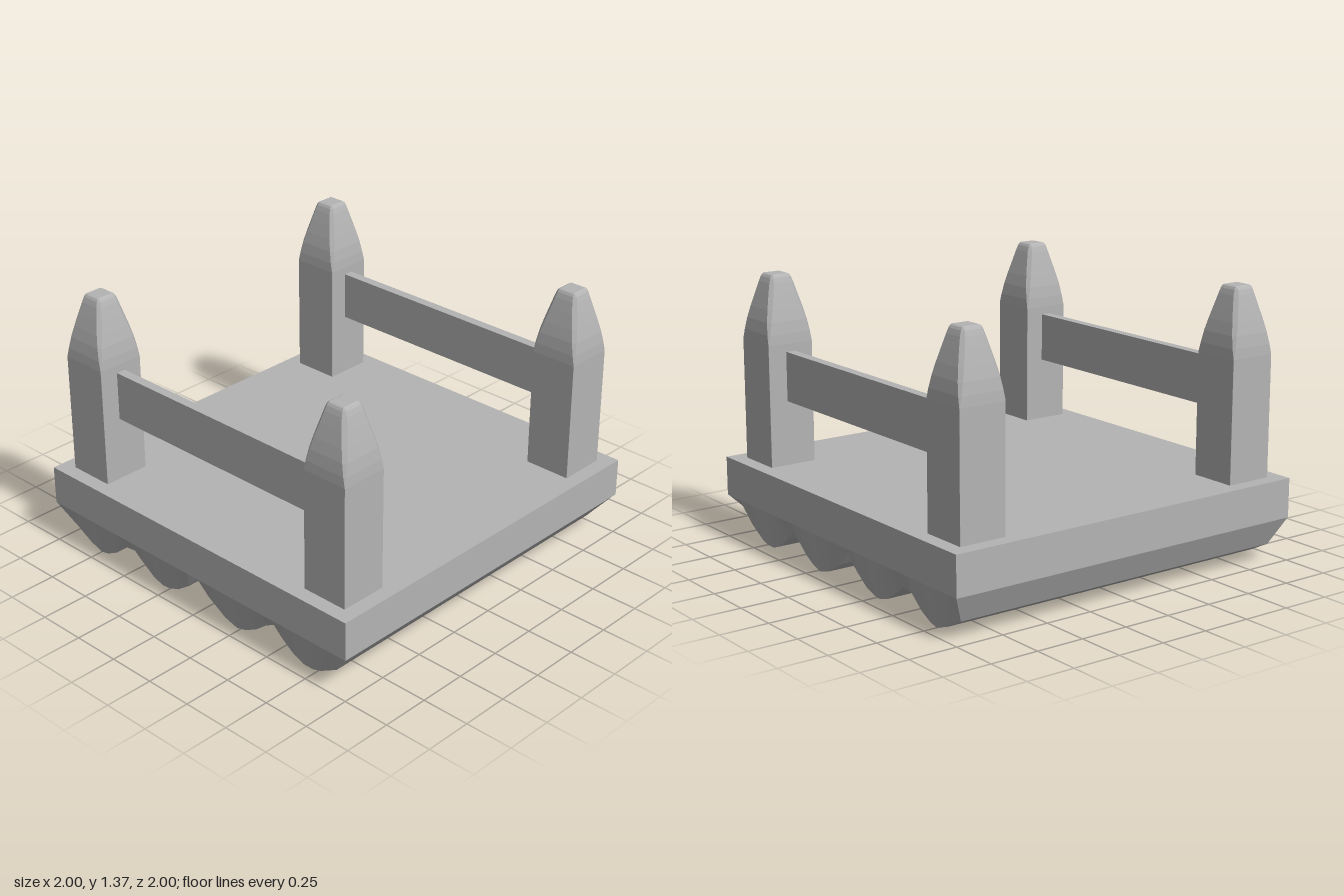
import * as THREE from 'three';

const stone = new THREE.MeshStandardMaterial({ color: 0xb4b4b4 });
stone.name = 'plain grey';

// Skins a list of equal-length rings of [x, y, z] points with flat faces.
function loft(rings, closed, caps) {
  const out = [];
  const tri = (a, b, c) => out.push(...a, ...b, ...c);
  const n = rings[0].length;
  for (let r = 0; r < rings.length - 1; r++) {
    for (let i = 0; i < (closed ? n : n - 1); i++) {
      const j = (i + 1) % n;
      const a = rings[r][i], b = rings[r][j], c = rings[r + 1][j], d = rings[r + 1][i];
      tri(a, b, c);
      tri(a, c, d);
    }
  }
  if (caps) {
    const top = rings[rings.length - 1];
    for (let i = 1; i < n - 1; i++) tri(top[0], top[i], top[i + 1]);
  }
  const g = new THREE.BufferGeometry();
  g.setAttribute('position', new THREE.Float32BufferAttribute(out, 3));
  g.computeVertexNormals();
  return g;
}

function box(name, w, h, d, x, y, z) {
  const m = new THREE.Mesh(new THREE.BoxGeometry(w, h, d), stone);
  m.name = name;
  m.position.set(x, y, z);
  return m;
}

// Square post whose top tapers in a curve, with slightly chamfered corners.
function postGeometry() {
  const profile = [ // height, half width, corner chamfer
    [0.42, 0.124, 0.001], [1.04, 0.124, 0.001], [1.09, 0.121, 0.01], [1.15, 0.113, 0.016],
    [1.21, 0.1, 0.018], [1.28, 0.082, 0.018], [1.335, 0.067, 0.016],
    [1.36, 0.058, 0.012], [1.372, 0.05, 0.006], [1.376, 0.042, 0.001],
  ];
  const rings = profile.map(([y, h, c]) => {
    const k = h - c;
    return [[h, y, k], [h, y, -k], [k, y, -h], [-k, y, -h],
      [-h, y, -k], [-h, y, k], [-k, y, h], [k, y, h]];
  });
  return loft(rings, true, true);
}

// Underside of four logs side by side, given as [z, y] from front to back.
const logs = [
  [1, 0.225], [0.94, 0.15], [0.88, 0.08], [0.78, 0.025], [0.73, 0.01], [0.67, 0.01],
  [0.6, 0.04], [0.53, 0.09], [0.48, 0.137],
  [0.43, 0.11], [0.36, 0.055], [0.29, 0.018], [0.23, 0.003], [0.15, 0.025], [0.04, 0.09],
  [-0.03, 0.18],
  [-0.1, 0.09], [-0.18, 0.035], [-0.25, 0.012], [-0.29, 0.009], [-0.35, 0.025],
  [-0.44, 0.085], [-0.49, 0.122],
  [-0.55, 0.115], [-0.63, 0.05], [-0.7, 0.014], [-0.75, 0.003], [-0.83, 0.03],
  [-0.935, 0.085], [-1, 0.225],
];

function logGeometry() {
  const last = logs.length - 1;
  const lip = (s) => logs.map(([z, y], i) => [s * (i === 0 || i === last ? 1 : 0.93), y, z]);
  const rim = (s) => logs.map(([z]) => [s, 0.225, z]);
  // Right rim, right lip, left lip, left rim: sloping ends and grooved belly.
  return loft([rim(-1), lip(-1), lip(1), rim(1)], false, false);
}

export function createModel() {
  const model = new THREE.Group();
  model.name = 'railedPlatform';

  model.add(box('deck', 2, 0.2, 2, 0, 0.323, 0));

  const belly = new THREE.Mesh(logGeometry(), stone);
  belly.name = 'logUnderside';
  model.add(belly);

  const post = postGeometry();
  for (const sx of [-1, 1]) {
    const side = sx > 0 ? 'left' : 'right';
    for (const sz of [-1, 1]) {
      const m = new THREE.Mesh(post, stone);
      m.name = side + (sz > 0 ? 'FrontPost' : 'BackPost');
      m.position.set(sx * 0.8, 0, sz * 0.8);
      model.add(m);
    }
    model.add(box(side + 'Rail', 0.05, 0.25, 1.4, sx * 0.8, 0.875, 0));
  }
  return model;
}
